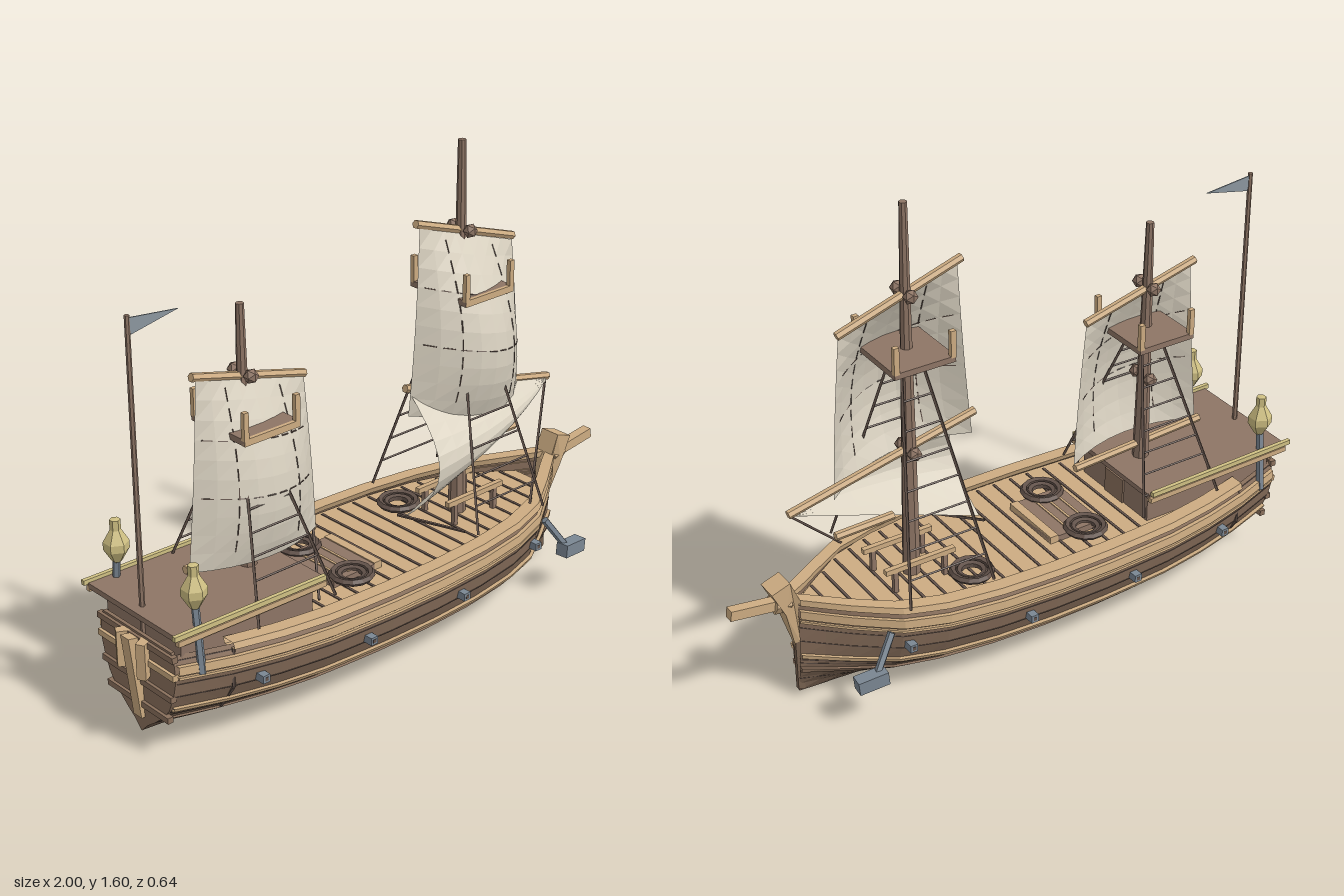
import * as THREE from 'three';

const mat = (name, color, side = THREE.FrontSide) =>
  new THREE.MeshStandardMaterial({ name, color, side, flatShading: true });
const V = (x, y, z) => new THREE.Vector3(x, y, z);

// piecewise linear lookup in [key, value] pairs
function lookup(table, k) {
  if (k <= table[0][0]) return table[0][1];
  for (let i = 1; i < table.length; i++) {
    const [a, va] = table[i - 1], [b, vb] = table[i];
    if (k <= b) return va + (vb - va) * (k - a) / (b - a);
  }
  return table[table.length - 1][1];
}
const PLAN = [[-0.95, 0.185], [-0.78, 0.236], [-0.62, 0.27], [-0.45, 0.293], [-0.2, 0.304], [0, 0.304],
  [0.2, 0.292], [0.38, 0.264], [0.52, 0.22], [0.65, 0.13], [0.78, 0.03]];
const SECTION = [[0, 0.02], [0.03, 0.28], [0.06, 0.5], [0.1, 0.71], [0.14, 0.84], [0.2, 0.94], [0.27, 1], [0.32, 0.98], [0.36, 0.93]];
const STATIONS = PLAN.flatMap(([x], i) => i ? [(x + PLAN[i - 1][0]) / 2, x] : [x]);

// point on the starboard or port skin, with sheer and keel rise at the ends
function hullPoint(x, y, off, s) {
  const k = 0.04 * Math.abs(x) ** 3, f = y / 0.36;
  const sheer = 0.035 * Math.max(0, (x - 0.3) / 0.48) ** 2 + 0.015 * Math.max(0, (-x - 0.3) / 0.6) ** 2;
  const w = lookup(PLAN, x) * lookup(SECTION, y) ** (1 + 0.5 * x * x);
  return [x, y + k * (1 - f) + sheer * f, s * Math.max(0.002, w + off)];
}

// sweep of a [y, offset] section along the hull on one side
function hullStrip(section, s, from = -0.95, to = 0.78) {
  const xs = STATIONS.filter(x => x >= from && x <= to), pos = [], idx = [], m = section.length;
  xs.forEach(x => section.forEach(([y, o]) => pos.push(...hullPoint(x, y, o, s))));
  for (let i = 0; i < xs.length - 1; i++) for (let j = 0; j < m - 1; j++) {
    const a = i * m + j, b = a + m;
    if (s > 0) idx.push(a, b, a + 1, b, b + 1, a + 1);
    else idx.push(a, a + 1, b, b, a + 1, b + 1);
  }
  const g = new THREE.BufferGeometry();
  g.setAttribute('position', new THREE.Float32BufferAttribute(pos, 3));
  g.setIndex(idx);
  g.computeVertexNormals();
  return g;
}

export function createModel() {
  const D = THREE.DoubleSide;
  const tan = mat('tan timber', 0xcdac82, D), brown = mat('brown timber', 0x8e7565, D);
  const hullBrown = mat('hull planking', 0x8b715d, D), keelBrown = mat('lower hull', 0x755f4e, D);
  const dark = mat('rope and seams', 0x62524a), cloth = mat('sail cloth', 0xdbd3c2, D);
  const brass = mat('brass', 0xcfc083), steel = mat('steel', 0x7b8793), flagGrey = mat('flag cloth', 0x8b969e, D);
  const model = new THREE.Group();

  const add = (name, geo, m) => {
    const o = new THREE.Mesh(geo, m);
    o.name = name;
    model.add(o);
    return o;
  };
  const box = (name, m, w, h, d, x, y, z) => {
    const o = add(name, new THREE.BoxGeometry(w, h, d), m);
    o.position.set(x, y, z);
    return o;
  };
  const rod = (name, m, a, b, r0, r1 = r0, sides = 5) => {
    const o = add(name, new THREE.CylinderGeometry(r1, r0, a.distanceTo(b), sides), m);
    o.position.copy(a).lerp(b, 0.5);
    o.quaternion.setFromUnitVectors(V(0, 1, 0), b.clone().sub(a).normalize());
    return o;
  };
  const plate = (name, m, pts, depth) => {
    const g = new THREE.ExtrudeGeometry(new THREE.Shape(pts.map(p => new THREE.Vector2(...p))), { depth, bevelEnabled: false });
    return add(name, g.translate(0, 0, -depth / 2), m);
  };
  const wale = (y0, y1, off) => [[y0, -0.004], [y0, off], [y1, off], [y1, -0.004]];

  // hull sides, wales, seams and rails
  for (const s of [1, -1]) {
    add('lowerHull', hullStrip([0, 0.03, 0.06, 0.1].map(y => [y, 0]), s), keelBrown);
    add('upperHull', hullStrip([0.1, 0.14, 0.2, 0.27, 0.32, 0.35].map(y => [y, 0]), s), hullBrown);
    add('lowerWale', hullStrip(wale(0.085, 0.1, 0.012), s), hullBrown);
    add('middleWale', hullStrip(wale(0.142, 0.155, 0.014), s), tan);
    add('upperWale', hullStrip(wale(0.272, 0.28, 0.009), s), tan);
    add('sheerStrake', hullStrip(wale(0.29, 0.318, 0.014), s), tan);
    add('capRail', hullStrip([[0.34, -0.03], [0.34, 0.018], [0.36, 0.018], [0.36, -0.03], [0.34, -0.03]], s, -0.8), tan);
    for (const y of [0.05, 0.115, 0.128, 0.2, 0.25, 0.332])
      add('plankSeam', hullStrip(wale(y, y + 0.003, 0.002), s), dark);
    // vertical joint ahead of the stern
    for (const [a, b] of [[0.1, 0.2], [0.2, 0.34]])
      rod('sternJoint', dark, V(...hullPoint(-0.775, a, 0.004, s)), V(...hullPoint(-0.775, b, 0.004, s)), 0.006);
    // gun ports
    for (const x of [-0.69, -0.3, 0.1, 0.5]) {
      const [, y, z] = hullPoint(x, 0.218, 0.012, s);
      box('gunPort', steel, 0.026, 0.026, 0.04, x, y, z);
      box('gunPortCentre', dark, 0.012, 0.012, 0.042, x, y, z);
    }
    // anchors
    rod('anchorShank', steel, V(0.56, 0.29, s * 0.215), V(0.63, 0.185, s * 0.245), 0.013);
    const head = box('anchorHead', steel, 0.1, 0.045, 0.045, 0.655, 0.17, s * 0.25);
    head.rotation.set(0, s * 0.1, -0.1);
  }

  // transom across the stern
  const rim = SECTION.map(([y]) => hullPoint(-0.95, y, 0, 1));
  const outline = [...rim.map(p => [p[2], p[1]]), ...rim.reverse().map(p => [-p[2], p[1]])];
  const transom = plate('transom', hullBrown, outline, 0.012);
  transom.rotation.y = -Math.PI / 2;
  transom.position.x = -0.95;
  for (const [y, w] of [[0.14, 0.3], [0.22, 0.34], [0.3, 0.37], [0.36, 0.37]])
    box('transomBeam', y === 0.3 ? tan : hullBrown, 0.02, 0.02, w, -0.956, y, 0);
  plate('sternPost', tan, [[-1, 0.375], [-0.95, 0.365], [-0.95, 0.09], [-0.968, 0.09]], 0.04);
  for (const s of [1, -1]) {
    const knee = box('sternKnee', tan, 0.05, 0.12, 0.03, -0.967, 0.31, s * 0.048);
    knee.rotation.y = s * 0.5;
  }

  // deck with cross seams
  const deckXs = STATIONS.filter(x => x < 0.77);
  const deckAt = s => deckXs.map(x => [x, -s * (lookup(PLAN, x) * 0.97 - 0.006)]);
  const deck = plate('deck', tan, [...deckAt(1), ...deckAt(-1).reverse()], 0.01);
  deck.rotation.x = -Math.PI / 2;
  deck.position.y = 0.312;
  for (let x = -0.39; x < 0.7; x += 0.066)
    box('deckSeam', dark, 0.009, 0.004, lookup(PLAN, x) * 1.88 - 0.02, x, 0.318, 0);

  // stem, narrowing downwards, and bowsprit
  const stem = plate('stem', tan, [[0.765, 0.2], [0.785, 0.2], [0.825, 0.35], [0.868, 0.44], [0.805, 0.462], [0.768, 0.37]], 0.074);
  const sp = stem.geometry.attributes.position;
  for (let i = 0; i < sp.count; i++) sp.setZ(i, sp.getZ(i) * Math.min(1, 0.15 + (sp.getY(i) - 0.2) / 0.17));
  stem.geometry.computeVertexNormals();
  plate('cutwater', keelBrown, [[0.76, 0.022], [0.784, 0.03], [0.785, 0.22], [0.76, 0.22]], 0.016);
  const sprit = box('bowsprit', tan, 0.19, 0.034, 0.034, 0.903, 0.389, 0);
  sprit.rotation.z = 0.14;
  rod('bowspritCollar', tan, V(0.8, 0.378, 0), V(0.85, 0.385, 0), 0.036, 0.036, 6);

  // stern cabin with overhanging roof
  box('cabin', brown, 0.5, 0.12, 0.36, -0.68, 0.372, 0);
  box('cabinDoor', hullBrown, 0.008, 0.09, 0.1, -0.428, 0.36, 0);
  box('cabinSill', tan, 0.5, 0.016, 0.4, -0.68, 0.408, 0).rotation.z = -0.02;
  box('cabinRoof', brown, 0.56, 0.018, 0.43, -0.69, 0.44, 0).rotation.z = -0.02;
  for (const s of [1, -1]) {
    box('roofRail', brass, 0.57, 0.016, 0.014, -0.7, 0.453, s * 0.222).rotation.z = -0.02;
    box('roofTrim', tan, 0.56, 0.018, 0.016, -0.69, 0.43, s * 0.218).rotation.z = -0.02;
    // stern lanterns
    rod('lanternPost', steel, V(-0.88, 0.3, s * 0.212), V(-0.88, 0.52, s * 0.19), 0.013);
    const profile = [[0, 0.5], [0.016, 0.51], [0.04, 0.55], [0.04, 0.575], [0.017, 0.615], [0.017, 0.648], [0, 0.65]];
    const lamp = add('lantern', new THREE.LatheGeometry(profile.map(p => new THREE.Vector2(...p)), 6), brass);
    lamp.position.set(-0.88, 0, s * 0.188);
  }

  // flag pole and pennant
  rod('flagPole', brown, V(-0.93, 0.36, 0), V(-0.93, 1.37, 0), 0.009, 0.008, 6);
  plate('pennant', flagGrey, [[-0.93, 1.362], [-0.755, 1.343], [-0.92, 1.31]], 0.004);

  // hatch and rope coils
  box('hatch', brown, 0.2, 0.024, 0.24, -0.19, 0.326, 0);
  box('hatchGrate', tan, 0.03, 0.03, 0.24, -0.105, 0.327, 0);
  for (const x of [-0.25, -0.21, -0.17]) box('hatchSlat', tan, 0.008, 0.028, 0.2, x, 0.327, 0);
  for (const [x, z] of [[-0.22, -0.13], [-0.22, 0.125], [0.22, -0.135]])
    [0.062, 0.042].forEach((r, i) => {
      const coil = add('ropeCoil', new THREE.TorusGeometry(r, 0.012, 5, 14), dark);
      coil.rotation.x = Math.PI / 2;
      coil.position.set(x, 0.345 - i * 0.006, z);
    });

  // sails: corners TL, TR, BL, BR as [x, y], swelling given by a rule
  const sail = (name, [tl, tr, bl, br], swell, columns, rows) => {
    const at = (u, v) => {
      const mix = i => (tl[i] * (1 - u) + tr[i] * u) * (1 - v) + (bl[i] * (1 - u) + br[i] * u) * v;
      return V(mix(0), mix(1), swell(u, v));
    };
    const g = new THREE.PlaneGeometry(1, 1, 8, 10), p = g.attributes.position;
    for (let i = 0; i < p.count; i++) {
      const q = at(p.getX(i) + 0.5, 0.5 - p.getY(i));
      p.setXYZ(i, q.x, q.y, q.z);
    }
    g.computeVertexNormals();
    add(name, g, cloth);
    // dashed stitching
    const stitch = f => {
      for (let t = 0.04; t < 0.94; t += 0.1) rod('sailStitch', dark, f(t), f(t + 0.065), 0.0022, 0.0022, 4);
    };
    columns.forEach(k => stitch(t => at(k, t)));
    rows.forEach(k => stitch(t => at(t, k)));
  };
  const full = b => (u, v) => 0.008 + b * Math.sin(Math.PI * v * 0.77) * (1 - 0.92 * (2 * u - 1) ** 2);
  sail('mainSail', [[0.17, 1.355], [0.58, 1.22], [0.12, 0.74], [0.615, 0.665]], full(0.15), [0.25, 0.75], [0.3, 0.6]);
  sail('mizzenSail', [[-0.71, 1.11], [-0.305, 1.005], [-0.765, 0.505], [-0.27, 0.485]], full(0.11), [0.25, 0.75], [0.3, 0.6]);
  sail('lowerSail', [[0.13, 0.82], [0.77, 0.68], [0.08, 0.4], [0.765, 0.665]],
    (u, v) => 0.008 + 0.17 * Math.sin(Math.PI * v * 0.94) * (1 - u * u), [], []);

  // yards
  for (const [a, b] of [[[0.16, 1.37], [0.59, 1.23]], [[0.12, 0.83], [0.78, 0.68]], [[0.42, 0.55], [0.625, 0.545]],
    [[-0.72, 1.12], [-0.295, 1.01]], [[-0.77, 0.512], [-0.265, 0.482]]])
    rod('yard', tan, V(...a, 0), V(...b, 0), 0.014, 0.014, 6);

  // masts with lookout platforms, blocks and shrouds
  for (const { x, top, nest, blocks } of [
    { x: 0.36, top: 1.6, nest: 1.115, blocks: [1.31, 1.07, 0.77] },
    { x: -0.53, top: 1.3, nest: 0.925, blocks: [1.08, 0.75] }]) {
    rod('mast', brown, V(x, 0.31, 0), V(x - 0.005, top, 0), 0.03, 0.013, 8);
    box('lookoutFloor', brown, 0.21, 0.02, 0.25, x + 0.005, nest, 0);
    box('lookoutEdge', tan, 0.21, 0.022, 0.012, x + 0.005, nest, 0.12);
    for (const s of [1, -1]) {
      for (const t of [1, -1])
        box('lookoutPost', tan, 0.018, 0.09, 0.016, x + 0.005 + t * 0.097, nest + 0.05, s * 0.118);
      for (const y of blocks) {
        const block = add('block', new THREE.IcosahedronGeometry(0.024, 0), brown);
        block.position.set(x, y, s * 0.038);
      }
      const zFoot = x > 0 ? 0.25 : 0.23;
      const leg = (d, t) => V(x + d * (1 - 0.8 * t), 0.375 + (nest - 0.375) * t, s * (zFoot + (0.025 - zFoot) * t));
      for (const d of [-0.15, 0.15]) rod('shroud', dark, leg(d, 0), leg(d, 1), 0.0055, 0.0055, 4);
      for (let i = 1; i < 8; i++) rod('ratline', dark, leg(-0.15, i / 8.5), leg(0.15, i / 8.5), 0.004, 0.004, 4);
    }
  }

  // rail around the foot of the main mast
  for (const s of [1, -1]) {
    box('mastRail', tan, 0.25, 0.018, 0.018, 0.37, 0.4, s * 0.07);
    for (const x of [0.28, 0.46]) box('mastRailPost', brown, 0.016, 0.09, 0.016, x, 0.355, s * 0.07);
  }

  // running ropes
  for (const [a, b] of [[[0.77, 0.67, 0], [0.5, 0.36, 0.2]], [[0.08, 0.4, 0.01], [0.2, 0.37, 0.2]],
    [[-0.27, 0.48, 0], [-0.42, 0.36, 0.2]]])
    rod('rope', dark, V(...a), V(...b), 0.005, 0.005, 4);

  return model;
}
